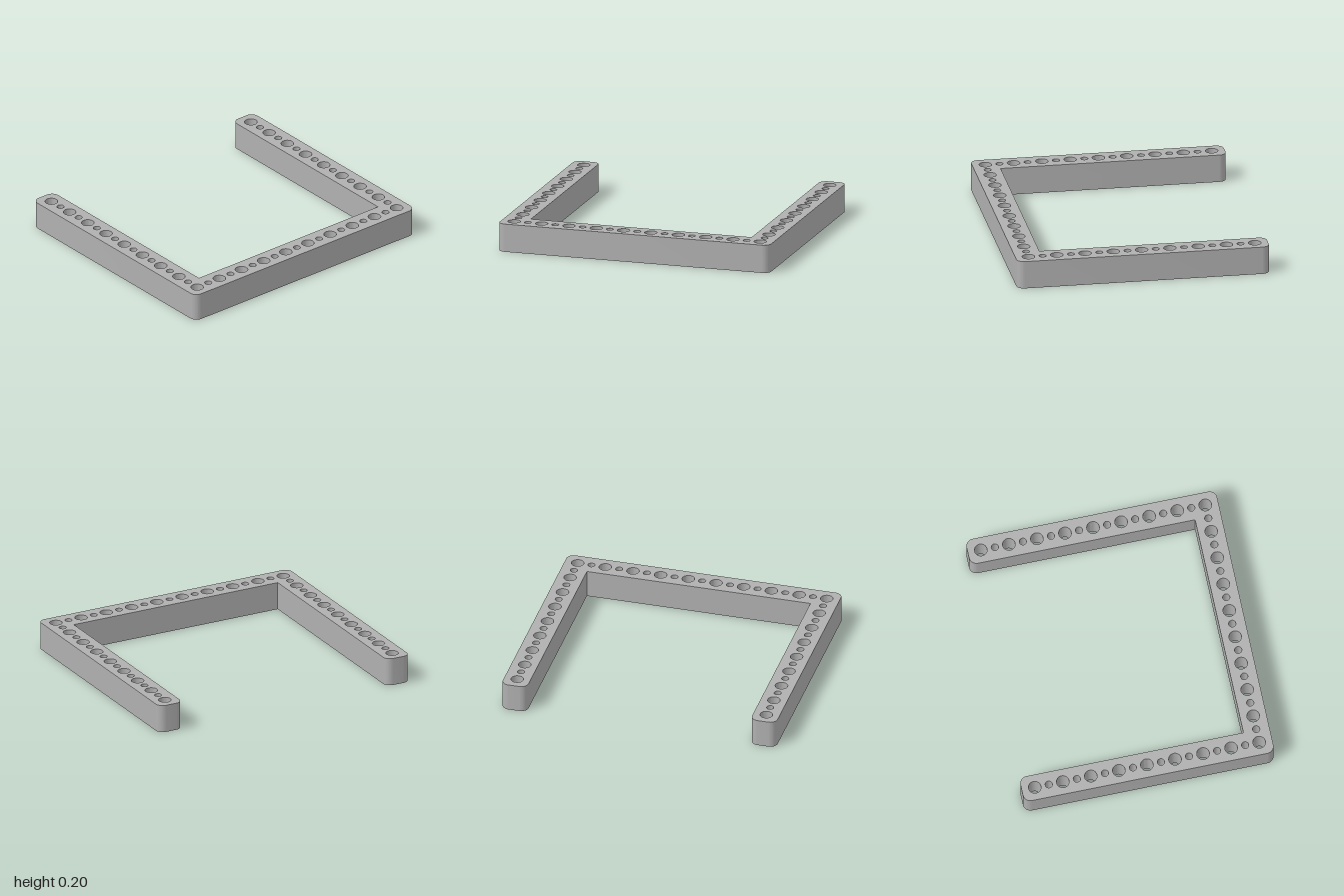
import * as THREE from 'three';
import { toCreasedNormals } from 'three/addons/utils/BufferGeometryUtils.js';

const PITCH = 0.2015;      // spacing of the large holes
const HALF = 0.0932;       // half the beam width
const HEIGHT = 0.2015;
const CORNER = 0.054;      // rounding of the outer corners
const LARGE = 0.0445, SMALL = 0.0253;

const X = 4.5 * PITCH;     // centre lines of the beams
const Y = 4 * PITCH;

// Closed outline from [x, y, radius] corners, rounded where radius > 0
function outline(corners) {
  const shape = new THREE.Shape();
  const n = corners.length;
  corners.forEach(([x, y, r], i) => {
    const p = new THREE.Vector2(x, y);
    const toward = ([a, b]) => new THREE.Vector2(a, b).sub(p).normalize().multiplyScalar(r);
    const a = toward(corners[(i + n - 1) % n]);
    const b = toward(corners[(i + 1) % n]);
    const start = p.clone().add(a);
    if (i === 0) shape.moveTo(start.x, start.y);
    else shape.lineTo(start.x, start.y);
    if (r > 0) {
      const c = start.clone().add(b);
      const from = Math.atan2(-b.y, -b.x);
      shape.absarc(c.x, c.y, r, from, from + Math.PI / 2, false);
    }
  });
  shape.closePath();
  return shape;
}

export function createModel() {
  const grey = new THREE.MeshStandardMaterial({ color: 0xb0b0b0 });
  grey.name = 'grey';

  // U-shaped outline, counter-clockwise, crossbar at the front
  const ox = X + HALF, ix = X - HALF, oy = Y + HALF, iy = Y - HALF;
  const shape = outline([
    [-ox, -oy, CORNER], [ox, -oy, CORNER],
    [ox, oy, CORNER], [ix, oy, CORNER],
    [ix, -iy, 0], [-ix, -iy, 0],
    [-ix, oy, CORNER], [-ox, oy, CORNER],
  ]);

  // Alternating large and small holes along the centre lines
  const drill = (x, y, i) => {
    const hole = new THREE.Path();
    hole.absarc(x, y, i % 2 ? SMALL : LARGE, 0, Math.PI * 2, true);
    shape.holes.push(hole);
  };
  for (let i = 0; i <= 18; i++) drill(-X + i * PITCH / 2, -Y, i);
  for (const side of [-1, 1]) {
    for (let i = 1; i <= 16; i++) drill(side * X, -Y + i * PITCH / 2, i);
  }

  // Extrude upward from the ground, smooth round walls and sharp rims
  const extruded = new THREE.ExtrudeGeometry(shape, {
    depth: HEIGHT, bevelEnabled: false, curveSegments: 16,
  });
  extruded.rotateX(-Math.PI / 2);
  const frame = new THREE.Mesh(toCreasedNormals(extruded, 0.6), grey);
  frame.name = 'perforatedFrame';

  const group = new THREE.Group();
  group.name = 'perforatedUFrame';
  group.add(frame);
  return group;
}
